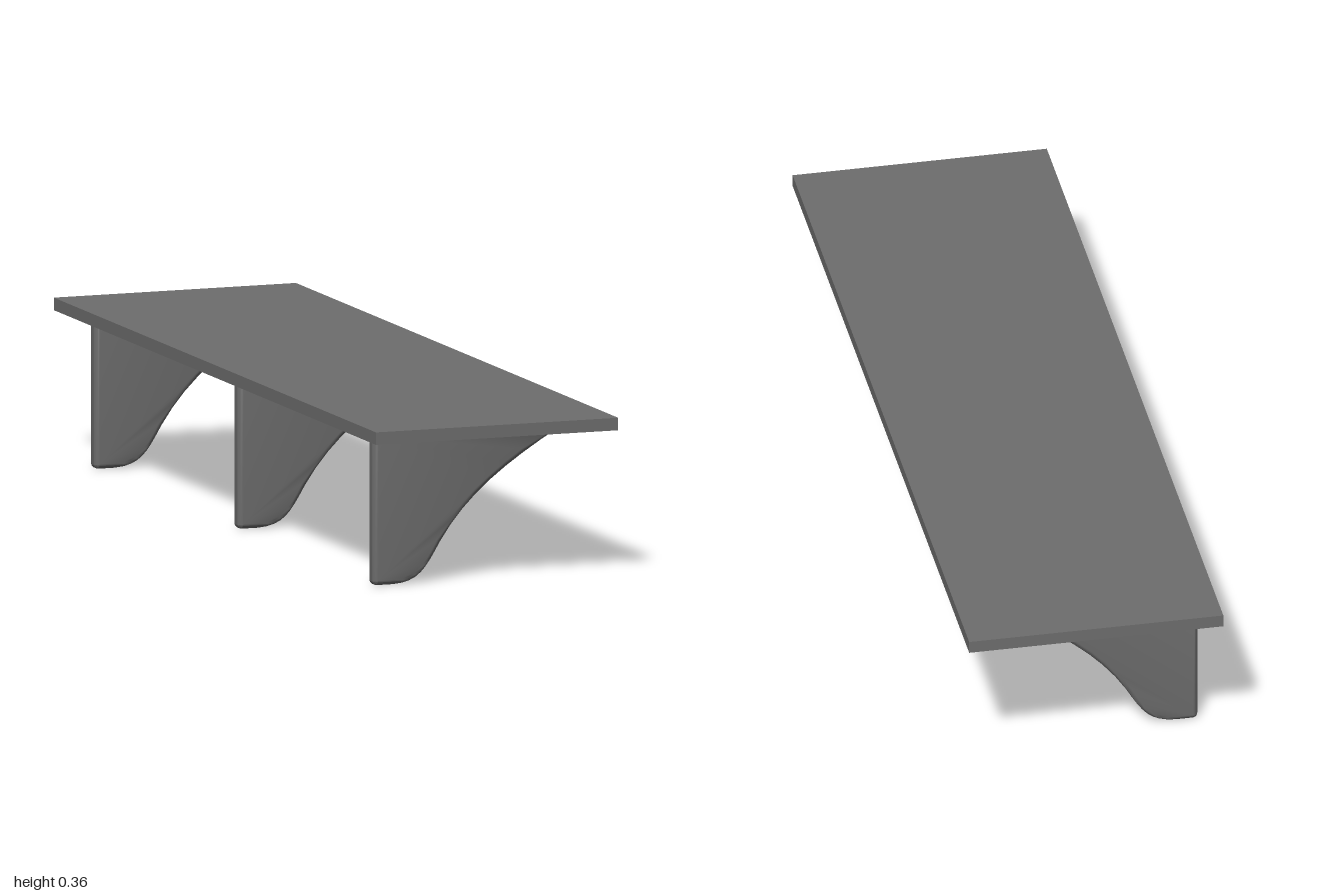
import * as THREE from 'three';
import { toCreasedNormals } from 'three/addons/utils/BufferGeometryUtils.js';

const grey = new THREE.MeshStandardMaterial({ color: 0x6e6e6e });
grey.name = 'dark grey';

const THICKNESS = 0.036; // bracket thickness along z
const BEVEL = 0.012;     // rounding of the bracket edges

// Bracket side profile; its top is sunk into the shelf board
function bracketGeometry() {
  const shape = new THREE.Shape();
  shape.moveTo(-0.26, 0.346);
  shape.lineTo(-0.26, 0.014);
  shape.quadraticCurveTo(-0.26, 0.001, -0.247, 0.001);
  shape.lineTo(-0.21, 0.001);
  shape.bezierCurveTo(-0.15, 0.004, -0.135, 0.03, -0.1, 0.09);
  shape.bezierCurveTo(-0.035, 0.195, 0.06, 0.26, 0.183, 0.331);
  shape.lineTo(0.209, 0.346);
  shape.closePath();
  const geometry = new THREE.ExtrudeGeometry(shape, {
    depth: THICKNESS - 2 * BEVEL,
    curveSegments: 8,
    bevelEnabled: true,
    bevelSize: BEVEL,
    bevelThickness: BEVEL,
    bevelOffset: -BEVEL,
    bevelSegments: 4,
  });
  geometry.translate(0, 0, BEVEL - THICKNESS / 2);
  return toCreasedNormals(geometry, 0.7);
}

export function createModel() {
  const model = new THREE.Group();
  model.name = 'wallShelf';

  // Flat board
  const board = new THREE.Mesh(new THREE.BoxGeometry(0.572, 0.028, 2), grey);
  board.name = 'shelfBoard';
  board.position.y = 0.345;
  model.add(board);

  // Three curved supports below the board
  const geometry = bracketGeometry();
  const supports = [['frontBracket', 0.898], ['middleBracket', 0.061], ['backBracket', -0.829]];
  for (const [name, z] of supports) {
    const bracket = new THREE.Mesh(geometry, grey);
    bracket.name = name;
    bracket.position.z = z;
    model.add(bracket);
  }
  return model;
}
